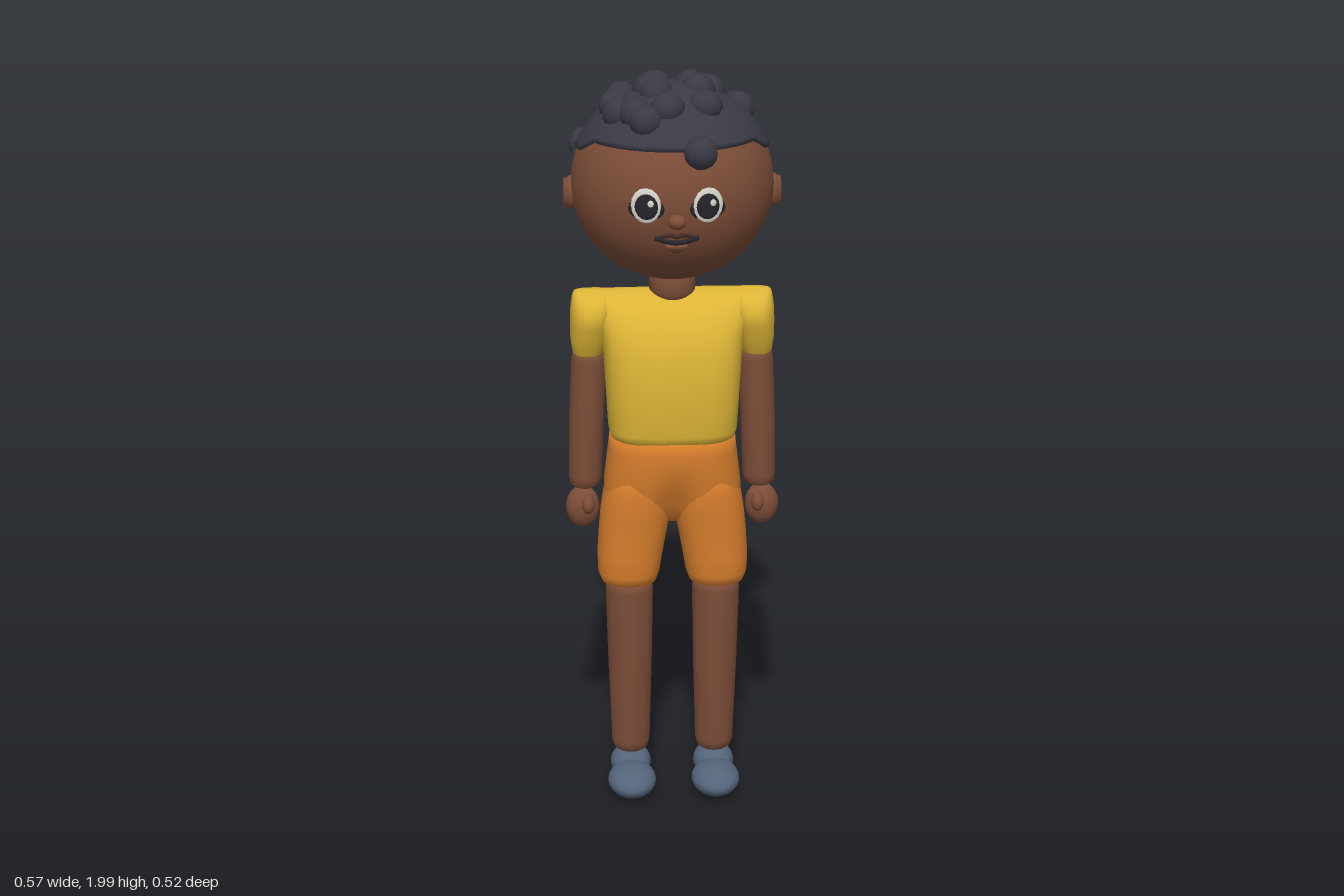
import * as THREE from 'three';

const mat = (name, color) => Object.assign(new THREE.MeshStandardMaterial({ color }), { name });

export function createModel() {
  const skin = mat('skin', 0x7c4d38), hairMat = mat('hair', 0x3a3a45), yellow = mat('shirt yellow', 0xdcb436);
  const orange = mat('shorts orange', 0xd97f2d), shoeMat = mat('shoe blue', 0x54657b);
  const white = mat('eye white', 0xd9d6cc), dark = mat('eye dark', 0x25252c), lipMat = mat('lip brown', 0x4a2c26);
  const root = new THREE.Group();
  root.name = 'child';

  const add = (name, geo, material, parent = root) => {
    const m = new THREE.Mesh(geo, material);
    m.name = name;
    parent.add(m);
    return m;
  };
  const ball = (name, material, pos, radii, parent = root, w = 24, h = 16) => {
    const m = add(name, new THREE.SphereGeometry(1, w, h), material, parent);
    m.position.set(...pos);
    m.scale.set(...radii);
    return m;
  };

  // Closed skin over rings of [y, centreX, radiusX, centreZ, radiusZ], listed bottom to top
  const loft = (rings, power = 2, pinch = () => 0, seg = 40) => {
    const first = rings[0], last = rings[rings.length - 1];
    const all = [[first[0], first[1], 0.001, first[3], 0.001], ...rings, [last[0], last[1], 0.001, last[3], 0.001]];
    const pos = [], idx = [];
    const round = v => Math.sign(v) * Math.pow(Math.abs(v), 2 / power);
    all.forEach(([y, cx, rx, cz, rz], r) => {
      for (let s = 0; s < seg; s++) {
        const t = (s / seg) * Math.PI * 2;
        const x = cx + rx * round(Math.cos(t));
        pos.push(x, y, cz + rz * round(Math.sin(t)) * (1 - pinch(x, y)));
        if (r < all.length - 1) {
          const a = r * seg + s, b = r * seg + (s + 1) % seg;
          idx.push(a, a + seg, b, b, a + seg, b + seg);
        }
      }
    });
    const g = new THREE.BufferGeometry();
    g.setAttribute('position', new THREE.Float32BufferAttribute(pos, 3));
    g.setIndex(idx);
    g.computeVertexNormals();
    return g;
  };

  // Head ellipsoid, slightly flatter in the face than at the back
  const CY = 1.715;
  const onHead = (dx, dy, dz, off = 0) => new THREE.Vector3(
    dx * (0.261 + off), CY + dy * (0.252 + off), dz * ((dz > 0 ? 0.241 : 0.255) + off));
  const headGeo = new THREE.SphereGeometry(1, 48, 32);
  const hp = headGeo.attributes.position;
  for (let i = 0; i < hp.count; i++) {
    const v = onHead(hp.getX(i), hp.getY(i), hp.getZ(i));
    hp.setXYZ(i, v.x, v.y, v.z);
  }
  headGeo.computeVertexNormals();
  add('head', headGeo, skin);
  add('neck', loft([[1.4, 0, 0.05, 0, 0.05], [1.43, 0, 0.06, 0, 0.06], [1.465, 0, 0.06, 0, 0.06], [1.49, 0, 0.05, 0, 0.05]]), skin);

  // Hair cap: hairline height by angle from the front, in degrees
  const line = [[0, 1.845], [62, 1.845], [76, 1.815], [97, 1.812], [99, 1.645], [110, 1.63], [113, 1.585],
    [126, 1.575], [130, 1.53], [140, 1.52], [146, 1.485], [180, 1.468]];
  const angles = [];
  for (let i = 0; i < line.length - 1; i++) {
    const n = Math.max(1, Math.ceil((line[i + 1][0] - line[i][0]) / 4));
    for (let k = 0; k < n; k++) {
      const f = k / n;
      angles.push([line[i][0] * (1 - f) + line[i + 1][0] * f, line[i][1] * (1 - f) + line[i + 1][1] * f]);
    }
  }
  const half = [...angles, [180, 1.468]];
  const cols = [...half, ...angles.slice(1).reverse().map(([a, y]) => [360 - a, y])];
  const ROWS = 24, hPos = [], hIdx = [];
  cols.forEach(([deg, y], c) => {
    const a = THREE.MathUtils.degToRad(deg), end = Math.acos(Math.max(-0.99, (y - CY) / 0.259));
    for (let r = 0; r <= ROWS + 1; r++) {
      const th = end * Math.min(r, ROWS) / ROWS;
      const off = r > ROWS ? -0.012 : 0.007;
      hPos.push(...onHead(Math.sin(th) * Math.sin(a), Math.cos(th), Math.sin(th) * Math.cos(a), off).toArray());
      if (r <= ROWS) {
        const p = c * (ROWS + 2) + r, q = ((c + 1) % cols.length) * (ROWS + 2) + r;
        hIdx.push(p, p + 1, q, q, p + 1, q + 1);
      }
    }
  });
  const capGeo = new THREE.BufferGeometry();
  capGeo.setAttribute('position', new THREE.Float32BufferAttribute(hPos, 3));
  capGeo.setIndex(hIdx);
  capGeo.computeVertexNormals();
  add('hairCap', capGeo, hairMat);

  // Curls sitting in the cap, placed by [x, z]
  const curls = new THREE.Group();
  curls.name = 'curls';
  root.add(curls);
  [[-0.09, -0.215], [-0.083, -0.178], [0.006, -0.193], [0.087, -0.175], [-0.222, -0.105], [-0.042, -0.075],
    [-0.128, -0.037], [-0.145, 0.022], [-0.138, 0.075], [-0.058, 0.012], [-0.042, 0.045], [-0.098, 0.108],
    [-0.017, 0.12], [-0.073, 0.143], [0.078, 0.095], [0.065, 0.01], [0.05, -0.062], [0.08, -0.075],
    [0.095, -0.038], [0.168, -0.065], [0.172, -0.042], [0.06, 0.208]].forEach(([x, z], i) => {
    const dx = x / 0.261, dz = z / 0.25;
    const y = CY + 0.246 * Math.sqrt(Math.max(0.1, 1 - dx * dx - dz * dz));
    ball('curl', hairMat, [x, y, z], [0.045, 0.042, 0.043], curls, 10, 8).rotation.y = i * 1.3;
  });

  // Flat oval lying on the face at x, y
  const plate = (name, material, x, y, rx, ry, lift, thick = 0.004) => {
    const dx = x / 0.261, dy = (y - CY) / 0.252;
    const p = onHead(dx, dy, Math.sqrt(1 - dx * dx - dy * dy));
    const n = new THREE.Vector3(x / 0.068, (y - CY) / 0.0635, p.z / 0.058).normalize();
    p.addScaledVector(n, lift);
    const m = ball(name, material, p.toArray(), [rx, ry, thick], root, 20, 8);
    m.lookAt(p.clone().add(n));
    return m;
  };

  for (const s of [1, -1]) {
    // Eyes
    plate('eyeOutline', dark, s * 0.075, 1.706, 0.047, 0.03, 0.005, 0.008);
    plate('eyeWhite', white, s * 0.075, 1.715, 0.039, 0.045, 0.009, 0.006);
    plate('iris', dark, s * 0.073, 1.713, 0.03, 0.033, 0.014, 0.005);
    plate('eyeShine', white, s * 0.073 + 0.011, 1.722, 0.008, 0.009, 0.019, 0.002);
    // Ears with a folded rim
    ball('ear', skin, [s * 0.26, 1.69, 0], [0.022, 0.044, 0.036]);
    const rim = add('earRim', new THREE.TorusGeometry(0.024, 0.006, 8, 24), skin);
    rim.position.set(s * 0.274, 1.69, 0);
    rim.rotation.y = Math.PI / 2;
    rim.scale.y = 1.3;
  }

  // Nose and mouth
  ball('nose', skin, [0, 1.672, 0.242], [0.022, 0.019, 0.02]);
  const lipCurve = (pts, r, name, material) => add(name, new THREE.TubeGeometry(
    new THREE.CatmullRomCurve3(pts.map(p => new THREE.Vector3(...p))), 24, r, 8), material);
  lipCurve([[-0.055, 1.627, 0.222], [-0.025, 1.619, 0.229], [0, 1.616, 0.231], [0.025, 1.619, 0.229], [0.055, 1.627, 0.222]], 0.006, 'mouthLine', dark);
  lipCurve([[-0.045, 1.63, 0.223], [-0.015, 1.636, 0.23], [0, 1.632, 0.231], [0.015, 1.636, 0.23], [0.045, 1.63, 0.223]], 0.006, 'upperLip', lipMat);
  plate('lowerLip', skin, 0, 1.604, 0.03, 0.011, 0.003, 0.009);
  plate('chinCrease', lipMat, 0, 1.588, 0.012, 0.004, 0.002, 0.003);

  // Shirt body, arching front to back up to a shoulder ridge
  const arch = y => 0.142 * Math.sqrt(Math.max(0.0004, 1 - Math.pow(Math.max(0, y - 1.2) / 0.23, 2)));
  const body = [[1.035, 0, 0.155, 0, 0.12], [1.042, 0, 0.165, 0, 0.13], [1.06, 0, 0.17, 0, 0.136], [1.13, 0, 0.174, 0, 0.141]];
  for (const [y, rx] of [[1.2, 0.178], [1.27, 0.182], [1.32, 0.188], [1.36, 0.198], [1.39, 0.208], [1.41, 0.215], [1.42, 0.22], [1.427, 0.222], [1.43, 0.222]])
    body.push([y, 0, rx, 0, arch(y)]);
  add('shirt', loft(body, 3.4, undefined, 64), yellow);

  // Shorts: waist with a softened centre, running into two legs
  const dip = (x, y) => 0.4 * Math.exp(-Math.pow(x / 0.045, 2)) * THREE.MathUtils.clamp((0.95 - y) / 0.15, 0, 1);
  add('shortsWaist', loft([[0.79, 0, 0.1, 0, 0.06], [0.815, 0, 0.16, 0, 0.09], [0.85, 0, 0.183, -0.002, 0.108],
    [0.9, 0, 0.182, -0.004, 0.121], [0.95, 0, 0.176, -0.004, 0.129], [1.0, 0, 0.17, -0.002, 0.13], [1.045, 0, 0.165, 0, 0.126]], 2.7, dip, 64), orange);

  for (const [s, side] of [[1, 'left'], [-1, 'right']]) {
    add(side + 'Sleeve', loft([[1.255, s * 0.222, 0.032, 0, 0.042], [1.262, s * 0.222, 0.04, 0, 0.05], [1.3, s * 0.219, 0.048, 0, 0.064],
      [1.34, s * 0.214, 0.053, 0, 0.077], [1.38, s * 0.21, 0.056, 0, 0.086], [1.41, s * 0.208, 0.054, 0, 0.058],
      [1.424, s * 0.206, 0.052, 0, 0.034], [1.43, s * 0.202, 0.048, 0, 0.006]], 2.4), yellow);
    add(side + 'ShortsLeg', loft([[0.612, s * 0.118, 0.06, 0.008, 0.06], [0.62, s * 0.118, 0.074, 0.008, 0.078], [0.645, s * 0.118, 0.083, 0.007, 0.088],
      [0.7, s * 0.114, 0.088, 0.004, 0.094], [0.77, s * 0.105, 0.092, 0, 0.101], [0.82, s * 0.098, 0.094, -0.002, 0.108],
      [0.88, s * 0.092, 0.09, -0.003, 0.114], [0.95, s * 0.085, 0.07, -0.004, 0.11]], 2.4), orange);
    add(side + 'Leg', loft([[0.103, s * 0.115, 0.034, 0.005, 0.03], [0.112, s * 0.115, 0.046, 0.005, 0.041], [0.135, s * 0.115, 0.052, 0.006, 0.048],
      [0.36, s * 0.116, 0.059, 0.01, 0.056], [0.59, s * 0.117, 0.064, 0.013, 0.064], [0.61, s * 0.117, 0.06, 0.013, 0.06],
      [0.62, s * 0.117, 0.048, 0.013, 0.048]]), skin);
    add(side + 'Arm', loft([[0.885, s * 0.233, 0.03, 0, 0.032], [0.893, s * 0.233, 0.04, 0, 0.044], [0.915, s * 0.232, 0.044, 0, 0.048],
      [1.08, s * 0.227, 0.046, 0, 0.05], [1.24, s * 0.22, 0.046, 0, 0.05], [1.262, s * 0.22, 0.04, 0, 0.044], [1.272, s * 0.22, 0.03, 0, 0.03]]), skin);
    ball(side + 'Hand', skin, [s * 0.24, 0.825, 0.002], [0.045, 0.058, 0.039]);
    ball(side + 'Thumb', skin, [s * 0.226, 0.842, 0.036], [0.017, 0.026, 0.022]).rotation.x = -0.5;
    ball(side + 'ShoeToe', shoeMat, [s * 0.115, 0.046, 0.085], [0.066, 0.042, 0.085]);
    ball(side + 'ShoeHeel', shoeMat, [s * 0.115, 0.053, -0.012], [0.056, 0.048, 0.066]);
  }

  // Rest the shoes on the ground
  root.position.y = -0.004;
  return root;
}
